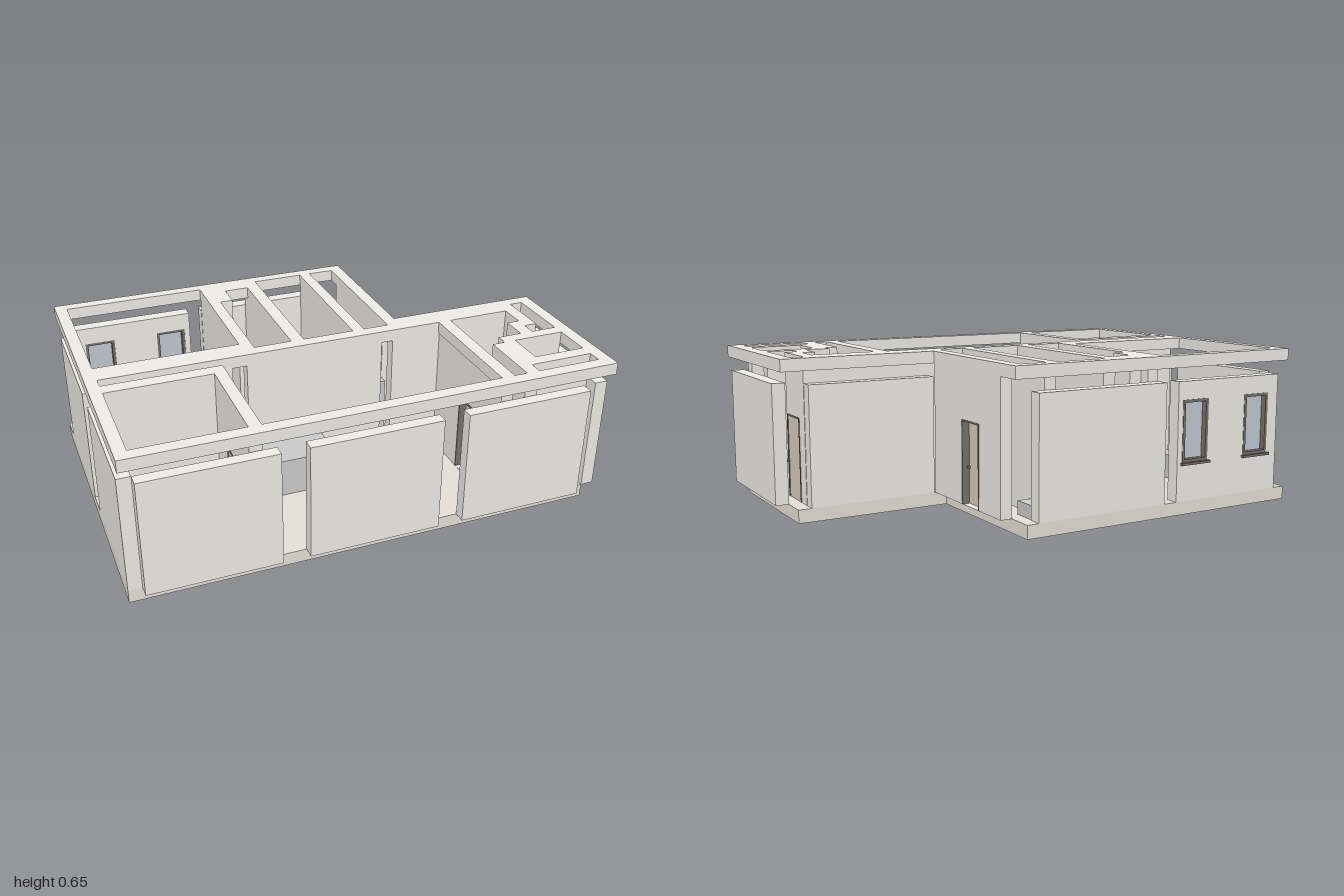
import * as THREE from 'three';

const mat = (color) => new THREE.MeshStandardMaterial({ color, flatShading: true });

export function createModel() {
  const house = new THREE.Group();
  const wallMat = mat(0xeeece7), floorMat = mat(0xe6e1d7), furnitureMat = mat(0xc6c6c9);
  const frameMat = mat(0x77716a), doorMat = mat(0xd8cbbb), glassMat = mat(0xc0c8d1);
  const FLOOR = 0.055, OUTER = 0.545, INNER = 0.6, TOP = 0.65;

  const add = (geo, material, name) => {
    const m = new THREE.Mesh(geo, material);
    m.name = name;
    house.add(m);
    return m;
  };
  // box from its two opposite corners
  const box = (name, material, x0, x1, y0, y1, z0, z1) =>
    add(new THREE.BoxGeometry(x1 - x0, y1 - y0, z1 - z0), material, name)
      .position.set((x0 + x1) / 2, (y0 + y1) / 2, (z0 + z1) / 2);
  const rect = (x0, x1, z0, z1) => [[x0, z0], [x1, z0], [x1, z1], [x0, z1]];

  // horizontal plate from a plan outline with holes (reversed so the outline runs counter-clockwise)
  const plate = (name, material, outline, holes, y0, y1) => {
    const pts = (list) => list.map(([x, z]) => new THREE.Vector2(x, -z)).reverse();
    const s = new THREE.Shape(pts(outline));
    s.holes = holes.map((h) => new THREE.Path(pts(h)));
    const g = new THREE.ExtrudeGeometry(s, { depth: y1 - y0, bevelEnabled: false });
    add(g.rotateX(-Math.PI / 2), material, name).position.y = y0;
  };

  // wall with rectangular openings [u0, u1, y0, y1]; runs along its longer side
  const wall = (name, x0, x1, z0, z1, top, openings = []) => {
    const alongX = x1 - x0 > z1 - z0;
    const [u0, u1, depth] = alongX ? [x0, x1, z1 - z0] : [z0, z1, x1 - x0];
    const corners = (a, b, c, d) => rect(a, b, c, d).map((p) => new THREE.Vector2(...p));
    const s = new THREE.Shape(corners(u0, u1, FLOOR, top));
    s.holes = openings.map((o) => new THREE.Path(corners(...o)));
    const g = new THREE.ExtrudeGeometry(s, { depth, bevelEnabled: false });
    if (!alongX) g.rotateY(-Math.PI / 2);
    add(g, wallMat, name).position.set(alongX ? 0 : x1, 0, alongX ? z0 : 0);
  };

  // door in a wall from w0 to w1: leaf on the side 'out', handle towards the end 'side'
  const door = (alongX, u, w0, w1, out, side) => {
    const a = u - 0.07, b = u + 0.07, h = 0.4, t = 0.007, e = 0.002;
    const part = (name, material, u0, u1, y0, y1, v0, v1) => (alongX
      ? box(name, material, u0, u1, y0, y1, v0, v1)
      : box(name, material, v0, v1, y0, y1, u0, u1));
    part('doorJamb', frameMat, a, a + t, FLOOR, h, w0 - e, w1 + e);
    part('doorJamb', frameMat, b - t, b, FLOOR, h, w0 - e, w1 + e);
    part('doorHead', frameMat, a, b, h - t, h, w0 - e, w1 + e);
    const mid = out > 0 ? w1 - 0.01 : w0 + 0.01;
    part('doorLeaf', doorMat, a + t, b - t, FLOOR, h - t, mid - 0.01, mid + 0.01);
    const k = u + side * 0.06;
    part('doorHandle', frameMat, k - 0.004, k + 0.004, 0.2, 0.21, mid - 0.02, mid + 0.02);
  };

  // window: four frame bars, a sill and glass
  const windowUnit = (u0, u1, y0, y1, w0, w1, sill0, sill1) => {
    const t = 0.012, mid = (w0 + w1) / 2;
    for (const [a, b, c, d] of [[u0, u0 + t, y0, y1], [u1 - t, u1, y0, y1],
      [u0, u1, y0, y0 + t], [u0, u1, y1 - t, y1]]) box('windowFrame', frameMat, a, b, c, d, w0, w1);
    box('windowSill', frameMat, u0 - 0.008, u1 + 0.008, y0 - 0.01, y0, sill0, sill1);
    box('windowGlass', glassMat, u0 + t, u1 - t, y0 + t, y1 - t, mid - 0.003, mid + 0.003);
  };

  // floor slab
  plate('floorSlab', floorMat, [[-1, -0.67], [0.295, -0.67], [0.295, -0.02], [0.945, -0.02],
    [0.945, 0.63], [-1, 0.63]], [], 0, FLOOR);

  // ring beam over all walls, open above the rooms
  plate('ringBeam', wallMat, [[-1, -0.67], [0.347, -0.67], [0.347, -0.02], [1, -0.02], [1, 0.68], [-1, 0.68]], [
    rect(-0.95, -0.35, -0.62, -0.02),
    [[-0.3, 0.03], [-0.3, -0.455], [-0.245, -0.455], [-0.245, -0.565], [-0.14, -0.565], [-0.14, 0.03]],
    rect(-0.085, 0.135, -0.62, 0.03),
    rect(0.185, 0.295, -0.62, 0.03),
    [[-0.95, 0.085], [0.51, 0.085], [0.51, 0.625], [-0.465, 0.625], [-0.465, 0.135], [-0.95, 0.135]],
    rect(-0.95, -0.515, 0.195, 0.625),
    [[0.565, 0.085], [0.835, 0.085], [0.835, 0.195], [0.78, 0.195], [0.78, 0.305], [0.675, 0.305],
      [0.675, 0.355], [0.62, 0.355], [0.62, 0.625], [0.565, 0.625]],
    [[0.89, 0.03], [0.945, 0.03], [0.945, 0.305], [0.835, 0.305], [0.835, 0.245], [0.89, 0.245]],
    rect(0.725, 0.945, 0.355, 0.515),
    rect(0.675, 0.945, 0.57, 0.625),
  ], INNER, TOP);

  // outer walls, stopping short of the beam
  const backWindows = [[-0.89, -0.76], [-0.565, -0.435]];
  const WY0 = 0.215, WY1 = 0.47;
  for (const [a, b] of [[-0.945, -0.41], [-0.3, 0.245], [0.35, 0.89]])
    wall('frontWall', a, b, 0.63, 0.68, OUTER);
  wall('backWindowWall', -0.945, -0.41, -0.67, -0.615, OUTER,
    backWindows.map(([a, b]) => [a, b, WY0, WY1]));
  wall('backWall', -0.35, 0.245, -0.67, -0.615, OUTER);
  wall('rightWall', -1, -0.945, -0.56, -0.02, OUTER);
  wall('rightWall', -1, -0.945, 0.09, 0.63, OUTER);
  wall('leftWall', 0.945, 1, 0.09, 0.63, OUTER);
  wall('wingBackWall', 0.35, 0.89, -0.02, 0.03, OUTER);

  // inner walls, reaching the beam
  const doorway = (u) => [u - 0.07, u + 0.07, FLOOR + 0.001, 0.4];
  wall('entranceWall', 0.295, 0.345, -0.56, -0.02, INNER, [doorway(-0.325)]);
  wall('bedroomWall', -0.35, -0.3, -0.61, -0.02, INNER);
  wall('closetWall', -0.3, -0.245, -0.565, -0.455, INNER);
  wall('bathWall', -0.14, -0.085, -0.61, -0.02, INNER);
  wall('kitchenWall', 0.135, 0.185, -0.61, -0.02, INNER, [doorway(-0.28)]);
  for (const [a, b] of [[-0.945, -0.41], [-0.35, 0.245], [0.295, 0.835]])
    wall('crossWall', a, b, 0.035, 0.085, INNER);
  wall('frontRoomBackWall', -0.945, -0.515, 0.135, 0.195, INNER);
  wall('frontRoomWall', -0.515, -0.465, 0.195, 0.625, INNER, [doorway(0.405)]);
  wall('hallWall', 0.515, 0.565, 0.085, 0.625, INNER, [doorway(0.37)]);
  wall('wingWall', 0.62, 0.675, 0.355, 0.625, INNER);
  wall('wingCrossWall', 0.675, 0.945, 0.305, 0.355, INNER);
  wall('wingStepWall', 0.78, 0.835, 0.195, 0.305, INNER);
  wall('wingDoorWall', 0.835, 0.89, 0.035, 0.245, INNER, [doorway(0.165)]);
  wall('wingFrontWall', 0.675, 0.945, 0.515, 0.57, INNER, [doorway(0.83)]);

  // doors in the doorways
  door(false, -0.325, 0.295, 0.345, -1, 1);
  door(false, -0.28, 0.135, 0.185, -1, 1);
  door(false, 0.405, -0.515, -0.465, -1, 1);
  door(false, 0.37, 0.515, 0.565, 1, 1);
  door(false, 0.165, 0.835, 0.89, 1, 1);
  door(true, 0.83, 0.515, 0.57, 1, -1);

  // windows through the back wall and on the inside of the front walls
  for (const [a, b] of backWindows) windowUnit(a, b, WY0, WY1, -0.672, -0.617, -0.685, -0.617);
  for (const [a, b] of [[-0.855, -0.625], [-0.5, -0.425], [-0.145, -0.065], [0.115, 0.195], [0.385, 0.465]])
    windowUnit(a, b, WY0, WY1, 0.618, 0.632, 0.613, 0.632);

  // simple block furniture
  box('desk', furnitureMat, -0.84, -0.57, FLOOR, 0.27, -0.61, -0.51);
  box('bed', furnitureMat, -0.945, -0.675, FLOOR, 0.16, -0.455, -0.19);
  box('bench', furnitureMat, 0.186, 0.24, FLOOR, 0.11, -0.612, -0.51);
  box('cupboard', furnitureMat, 0.186, 0.292, FLOOR, 0.38, -0.13, 0.029);
  box('sofa', furnitureMat, -0.41, -0.03, FLOOR, 0.22, 0.086, 0.25);

  return house;
}
